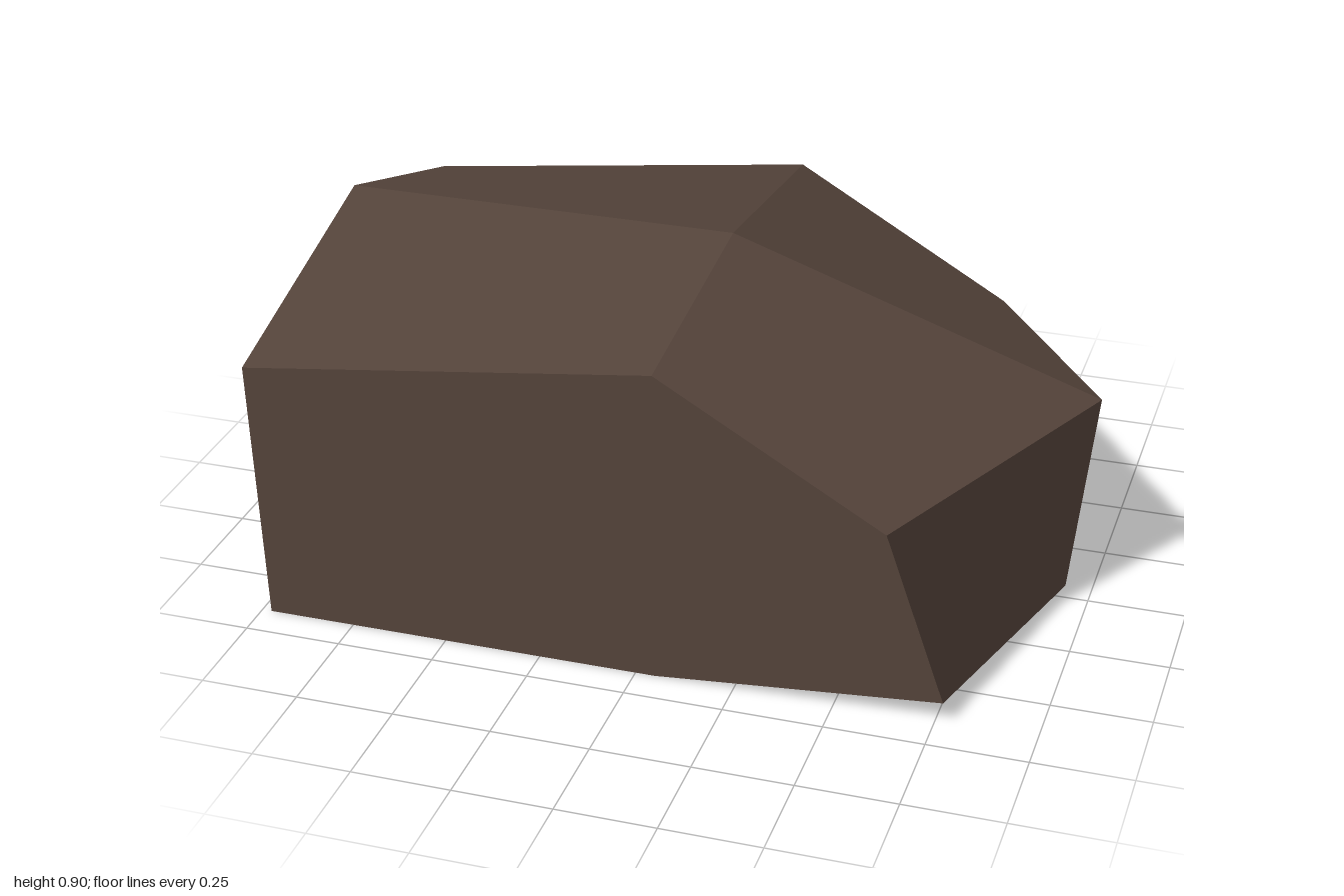
import * as THREE from 'three';

const HALF = 0.657;

// Builds flat quads; each is split along the line from its first to its third corner
// and carries a single averaged normal so the facet reads as one plane.
function facets(quads) {
  const pos = [], nor = [];
  for (const q of quads) {
    const [a, b, c, d] = q.map((p) => new THREE.Vector3(...p));
    const n = c.clone().sub(a).cross(d.clone().sub(b)).normalize();
    for (const p of [a, b, c, a, c, d]) {
      pos.push(p.x, p.y, p.z);
      nor.push(n.x, n.y, n.z);
    }
  }
  const g = new THREE.BufferGeometry();
  g.setAttribute('position', new THREE.Float32BufferAttribute(pos, 3));
  g.setAttribute('normal', new THREE.Float32BufferAttribute(nor, 3));
  return g;
}

// Mirrors quads across z = 0 and restores their outward winding
const mirror = (quads) => quads.map((q) => {
  const [a, b, c, d] = q.map(([x, y, z]) => [x, y, -z]);
  return [a, d, c, b];
});

export function createModel() {
  const group = new THREE.Group();
  group.name = 'rock';
  const brown = new THREE.MeshStandardMaterial({ color: 0x54433a });
  brown.name = 'dark brown stone';

  // Centre line corners
  const ridgeBack = [-0.975, 0.905, 0], ridgeMid = [0.05, 0.905, 0], tip = [1, 0.58, 0];
  const toe = [0.94, 0.035, 0], baseMid = [0.05, 0, 0], baseBack = [-0.975, 0, 0];

  // Flank corners
  const backTop = [-1, 0.69, HALF], shoulder = [0.05, 0.825, HALF], cheek = [0.62, 0.495, HALF];
  const chin = [0.77, 0.06, HALF], footMid = [0.05, 0, HALF], footBack = [-0.975, 0, HALF];

  const parts = {
    roof: [
      [ridgeBack, backTop, shoulder, ridgeMid],
      [shoulder, cheek, tip, ridgeMid],
    ],
    flank: [
      [footBack, footMid, shoulder, backTop],
      [footMid, chin, cheek, shoulder],
    ],
    backEnd: [[ridgeBack, baseBack, footBack, backTop]],
    underside: [
      [baseBack, baseMid, footMid, footBack],
      [baseMid, toe, chin, footMid],
    ],
  };

  const add = (name, quads) => {
    const mesh = new THREE.Mesh(facets(quads), brown);
    mesh.name = name;
    group.add(mesh);
  };
  for (const [name, quads] of Object.entries(parts)) add(name, [...quads, ...mirror(quads)]);

  // Pointed nose, each half folded along a different diagonal
  add('nose', [
    [cheek, chin, toe, tip],
    ...mirror([[chin, toe, tip, cheek]]),
  ]);

  return group;
}
